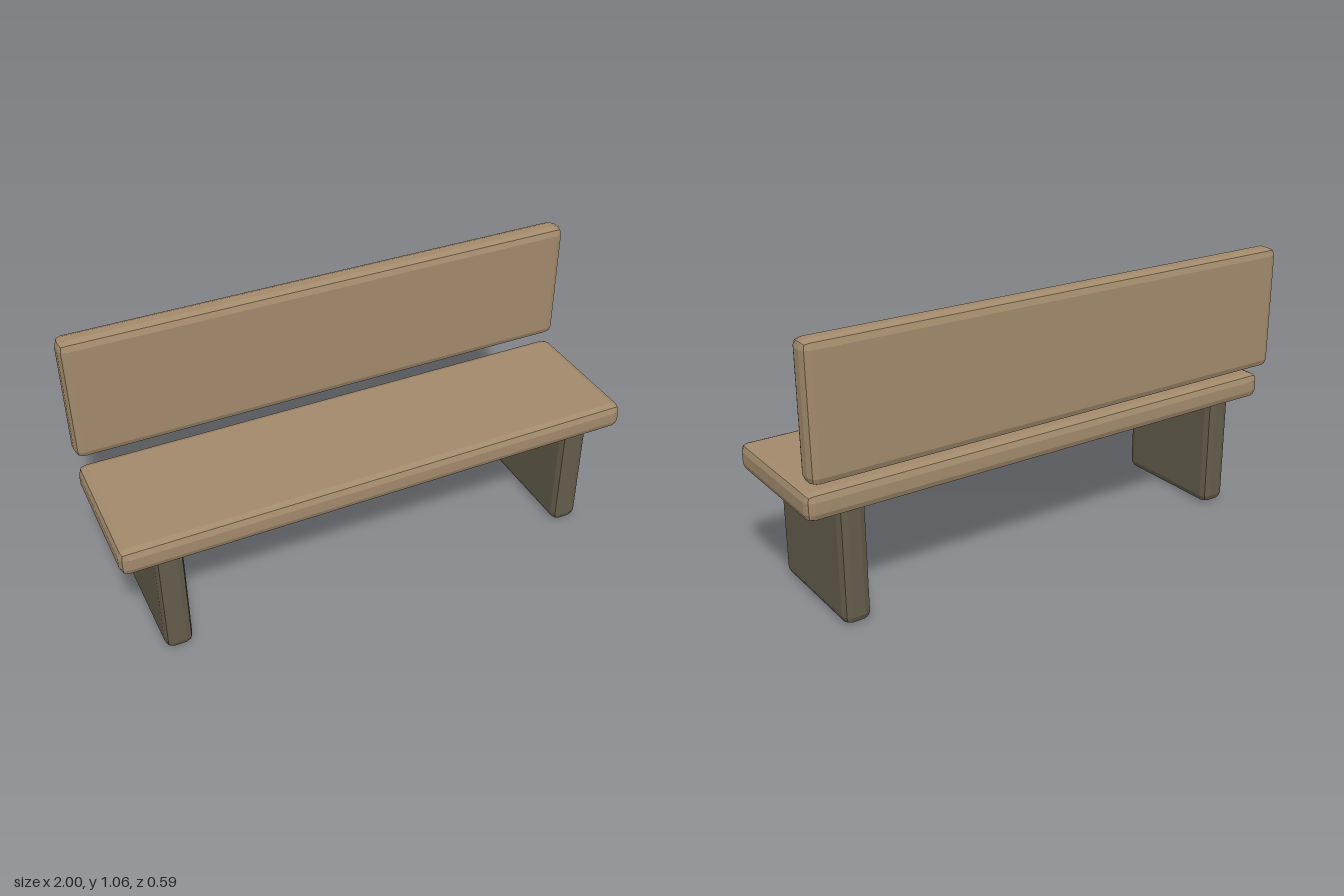
import * as THREE from 'three';
import { RoundedBoxGeometry } from 'three/addons/geometries/RoundedBoxGeometry.js';

const wood = new THREE.MeshStandardMaterial({ color: 0xa1896b, flatShading: true });
wood.name = 'wood';
const legPaint = new THREE.MeshStandardMaterial({ color: 0x625c4a, flatShading: true });
legPaint.name = 'dark leg paint';

// Slab with softly bevelled edges, given by its centre and size
function slab(name, material, [w, h, d], [x, y, z]) {
  const mesh = new THREE.Mesh(new RoundedBoxGeometry(w, h, d, 1, 0.03), material);
  mesh.name = name;
  mesh.position.set(x, y, z);
  return mesh;
}

export function createModel() {
  const bench = new THREE.Group();
  bench.name = 'bench';

  // Seat plank and floating backrest
  bench.add(slab('seat', wood, [2, 0.102, 0.545], [0, 0.488, 0.024]));
  bench.add(slab('backrest', wood, [2, 0.482, 0.093], [0, 0.824, -0.2495]));

  // Slab legs, with their tops sunk into the seat
  for (const [side, name] of [[1, 'leftLeg'], [-1, 'rightLeg']]) {
    bench.add(slab(name, legPaint, [0.105, 0.48, 0.482], [side * 0.822, 0.24, 0.024]));
  }
  return bench;
}
